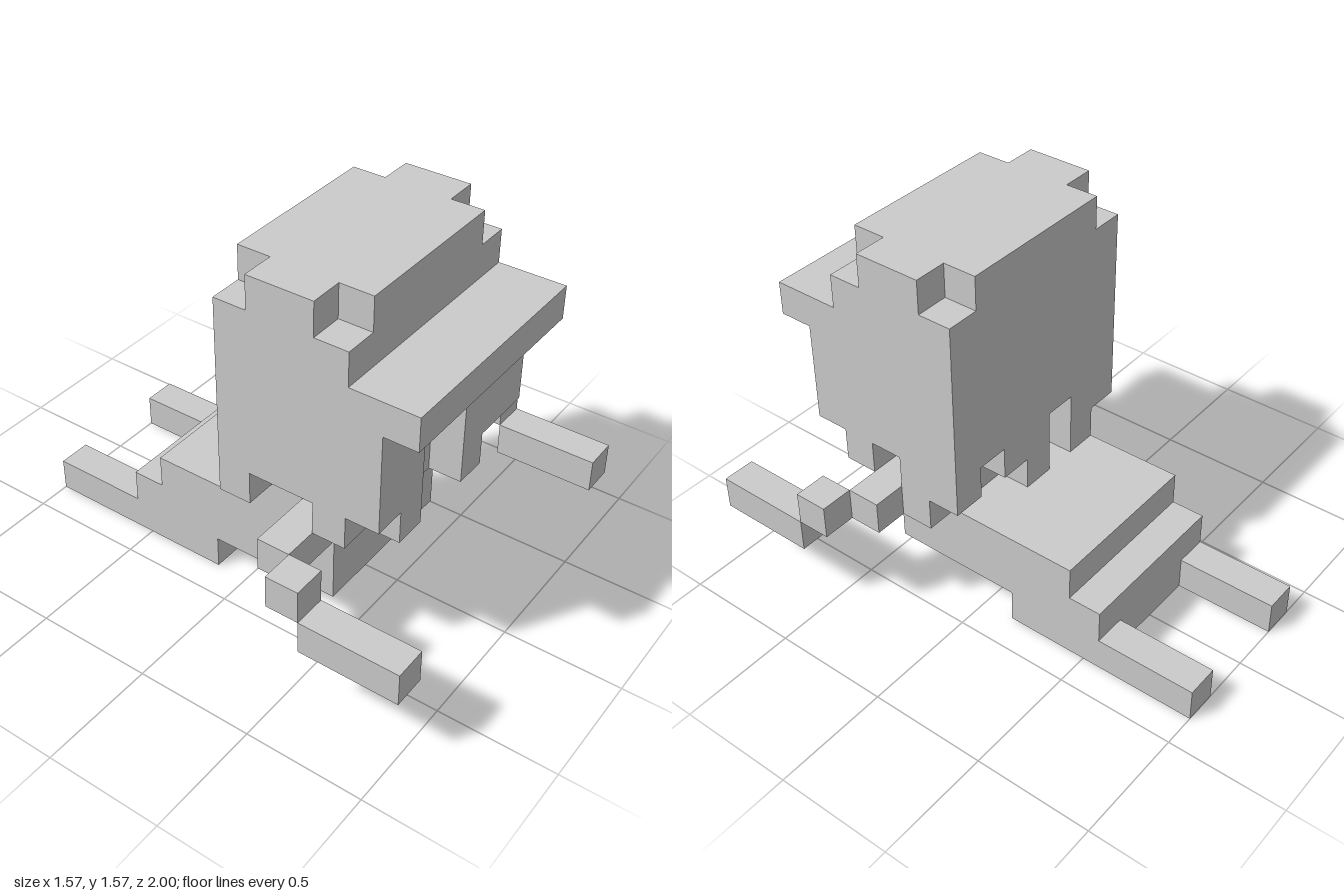
import * as THREE from 'three';

const U = 1 / 7; // one block

export function createModel() {
  const model = new THREE.Group();
  model.name = 'blockFigure';
  const material = new THREE.MeshStandardMaterial({ color: 0xcccccc, flatShading: true });

  // Adds a named part made of boxes given as [x0, x1, y0, y1, z0, z1] in blocks
  function part(name, boxes) {
    const group = new THREE.Group();
    group.name = name;
    for (const [x0, x1, y0, y1, z0, z1] of boxes) {
      const box = new THREE.BoxGeometry((x1 - x0) * U, (y1 - y0) * U, (z1 - z0) * U);
      box.translate((x0 + x1) * U / 2, (y0 + y1) * U / 2, (z0 + z1) * U / 2);
      const mesh = new THREE.Mesh(box, material);
      mesh.name = name + 'Block';
      group.add(mesh);
    }
    model.add(group);
  }

  // Head with the recessed face
  part('head', [
    [-3.5, 3.5, 5, 10, 0, 4],
    [-2.5, 2.5, 4, 5, 1, 4],
  ]);

  // Cap crown with missing corners, and its brim
  part('capCrown', [
    [-2.5, 2.5, 10, 11, 0, 4],
    [-3.5, -2.5, 10, 11, 1, 3],
    [2.5, 3.5, 10, 11, 1, 3],
  ]);
  part('capBrim', [[-3.5, 3.5, 8, 9, 4, 6]]);

  // Hair in front, framing the face
  part('frontHair', [
    [-3.5, -2.5, 5, 8, 4, 5],
    [-2.5, -1.5, 4, 8, 4, 5],
    [-1.5, -0.5, 7, 8, 4, 5],
    [0.5, 1.5, 4, 8, 4, 5],
    [1.5, 3.5, 5, 8, 4, 5],
  ]);

  // Ragged hair ends at the sides and back
  part('sideHair', [
    [2.5, 3.5, 4, 5, 0, 2],
    [2.5, 3.5, 3, 4, 1, 2],
    [2.5, 3.5, 4, 5, 3, 4],
    [-3.5, -2.5, 4, 5, 0, 1],
    [-3.5, -2.5, 4, 5, 3, 4],
  ]);
  part('backHair', [
    [0.5, 1.5, 4, 5, 0, 1],
    [-0.5, 0.5, 3, 5, 0, 1],
    [-2.5, -1.5, 3, 5, 0, 1],
  ]);

  // Torso and the stepped legs behind it
  part('torso', [
    [-2.5, 2.5, 3, 4, 1, 3],
    [-2.5, 2.5, 1, 3, -3, 3],
  ]);
  part('legs', [
    [-2.5, 2.5, 1, 2, -4, -3],
    [-2.5, 2.5, 0, 1, -4, -1],
  ]);

  // Mirrored arms and feet
  for (const [side, s] of [['left', 1], ['right', -1]]) {
    const mirror = ([a, b, ...rest]) => (s > 0 ? [a, b, ...rest] : [-b, -a, ...rest]);
    part(side + 'Arm', [
      [2.5, 4.5, 3, 4, 2, 3],
      [4.5, 5.5, 3, 4, 3, 4],
      [4.5, 5.5, 2, 3, 4, 7],
    ].map(mirror));
    part(side + 'Foot', [mirror([1.5, 2.5, 0, 1, -7, -4])]);
  }

  return model;
}
